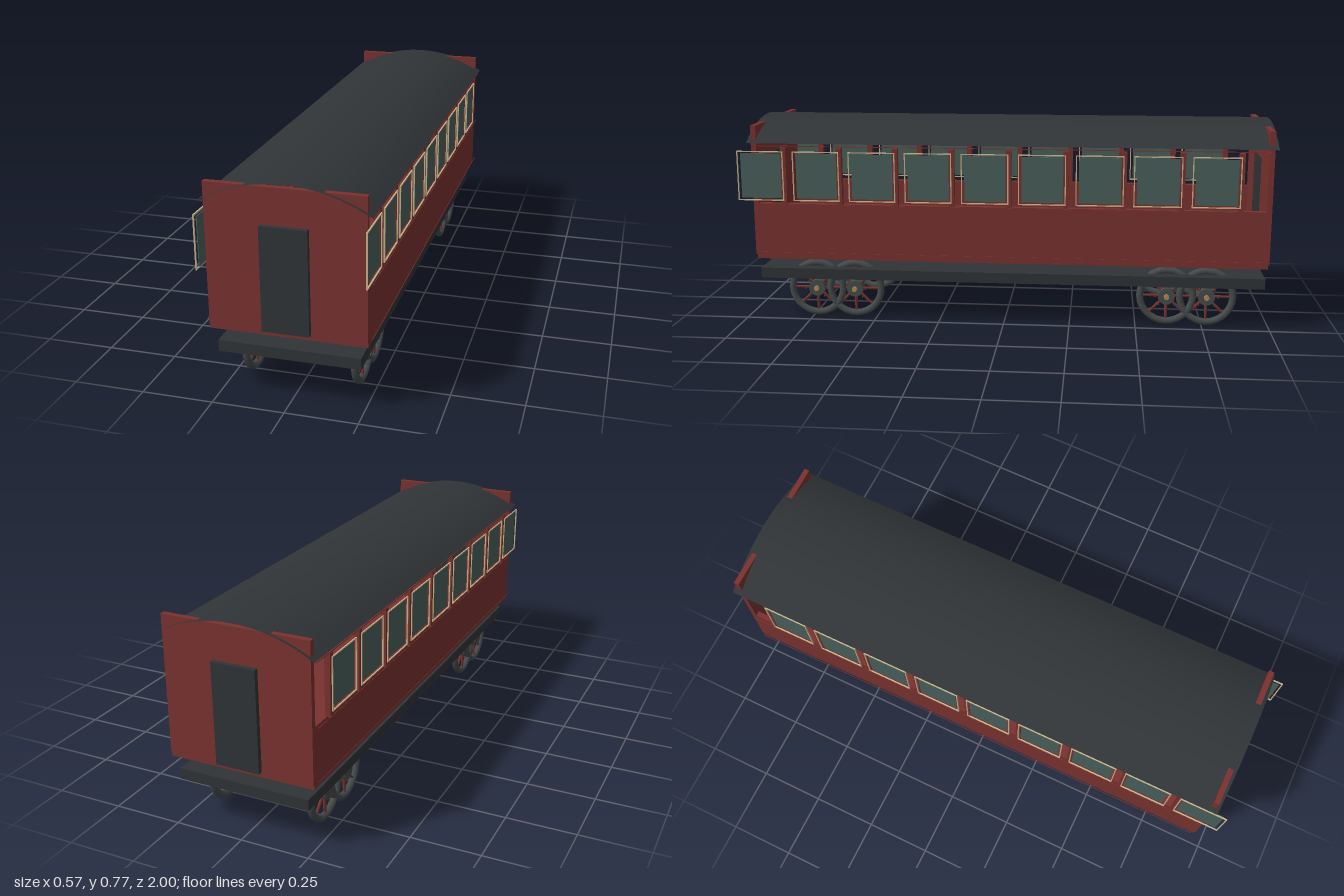
import * as THREE from 'three';

const mat = (color, side = THREE.FrontSide) => new THREE.MeshStandardMaterial({ color, side });

export function createModel() {
  const red = mat(0x7a322f), dark = mat(0x303437), tyreGrey = mat(0x454b4c);
  const glass = mat(0x4a605c), brass = mat(0xb58a4e), cream = mat(0xc9b48a);
  const roofMat = mat(0x303437, THREE.DoubleSide);

  const model = new THREE.Group();
  model.name = 'railwayCarriage';
  const carriage = new THREE.Group();
  carriage.name = 'carriage';
  carriage.position.z = -0.018;
  model.add(carriage);

  const add = (parent, name, geometry, material, x = 0, y = 0, z = 0) => {
    const mesh = new THREE.Mesh(geometry, material);
    mesh.name = name;
    mesh.position.set(x, y, z);
    parent.add(mesh);
    return mesh;
  };
  const box = (parent, name, material, w, h, d, x, y, z) =>
    add(parent, name, new THREE.BoxGeometry(w, h, d), material, x, y, z);

  // Underframe and floor
  box(carriage, 'chassis', dark, 0.486, 0.04, 1.914, 0, 0.181, 0);
  box(carriage, 'floor', red, 0.534, 0.015, 1.92, 0, 0.2525, 0);

  // End walls with doors
  for (const s of [-1, 1]) {
    box(carriage, 'endWall', red, 0.534, 0.495, 0.02, 0, 0.5075, s * 0.955);
    box(carriage, 'door', dark, 0.16, 0.363, 0.04, 0, 0.4485, s * 0.962);
  }

  // Arched roof: a thin sheet bent to a circular arc
  const roof = new THREE.PlaneGeometry(0.57, 1.954, 24, 1).rotateX(-Math.PI / 2);
  const pos = roof.attributes.position, R = 0.548;
  for (let i = 0; i < pos.count; i++) {
    const x = pos.getX(i);
    pos.setY(i, Math.sqrt(R * R - x * x) - R);
  }
  roof.computeVertexNormals();
  add(carriage, 'roof', roof, roofMat, 0, 0.771, 0);

  // A window: hollow frame outside a separate pane
  const makeWindow = (side) => {
    const g = new THREE.Group();
    g.name = 'window';
    const w = 0.176, h = 0.188, t = 0.004;
    box(g, 'pane', glass, 0.003, 0.17, 0.156, side * 0.273, 0, -0.002);
    for (const s of [-1, 1]) {
      box(g, 'frameUpright', cream, 0.005, h, t, side * 0.2785, 0, s * (w - t) / 2);
      box(g, 'frameRail', cream, 0.005, t, w, side * 0.2785, s * (h - t) / 2, 0);
    }
    return g;
  };

  // Side walls, posts, windows and thin trim lines
  for (const side of [-1, 1]) {
    box(carriage, 'sidePanel', red, 0.02, 0.2, 1.9, side * 0.257, 0.36, 0);
    for (let i = 0; i < 9; i++) {
      const z = 0.93 - i * 0.2115;
      box(carriage, 'post', red, 0.02, 0.22, 0.02, side * 0.267, 0.565, z - 0.088);
      const win = makeWindow(side);
      win.position.set(0, 0.567, z);
      carriage.add(win);
    }
    for (const y of [0.272, 0.459, 0.681])
      box(carriage, 'trimLine', red, 0.002, 0.003, 1.9, side * 0.279, y, 0);
  }

  // Spoked wheel; its axis runs along x and the cap sits on the +x face
  const makeWheel = () => {
    const g = new THREE.Group();
    g.name = 'wheel';
    const disc = (r, len, n) => new THREE.CylinderGeometry(r, r, len, n).rotateZ(Math.PI / 2);
    add(g, 'tyre', new THREE.TorusGeometry(0.1, 0.0135, 8, 28).rotateY(Math.PI / 2), tyreGrey);
    add(g, 'hub', disc(0.032, 0.036, 16), tyreGrey);
    add(g, 'hubCap', disc(0.01, 0.012, 12), brass, 0.023);
    for (let i = 0; i < 8; i++) {
      const a = (i / 8) * Math.PI * 2, c = Math.cos(a), s = Math.sin(a);
      const spoke = add(g, 'spoke', new THREE.CylinderGeometry(0.005, 0.006, 0.066, 6), red, 0, c * 0.06, s * 0.06);
      spoke.rotation.x = a;
      add(g, 'bolt', disc(0.003, 0.004, 6), tyreGrey, 0.02, c * 0.042, s * 0.042);
    }
    return g;
  };

  // Two pairs of close-set wheels on each side
  for (const x of [-0.191, 0.191])
    for (const z of [0.75, 0.6, -0.598, -0.748]) {
      const wheel = makeWheel();
      wheel.position.set(x, 0.1145, z);
      carriage.add(wheel);
    }

  return model;
}
